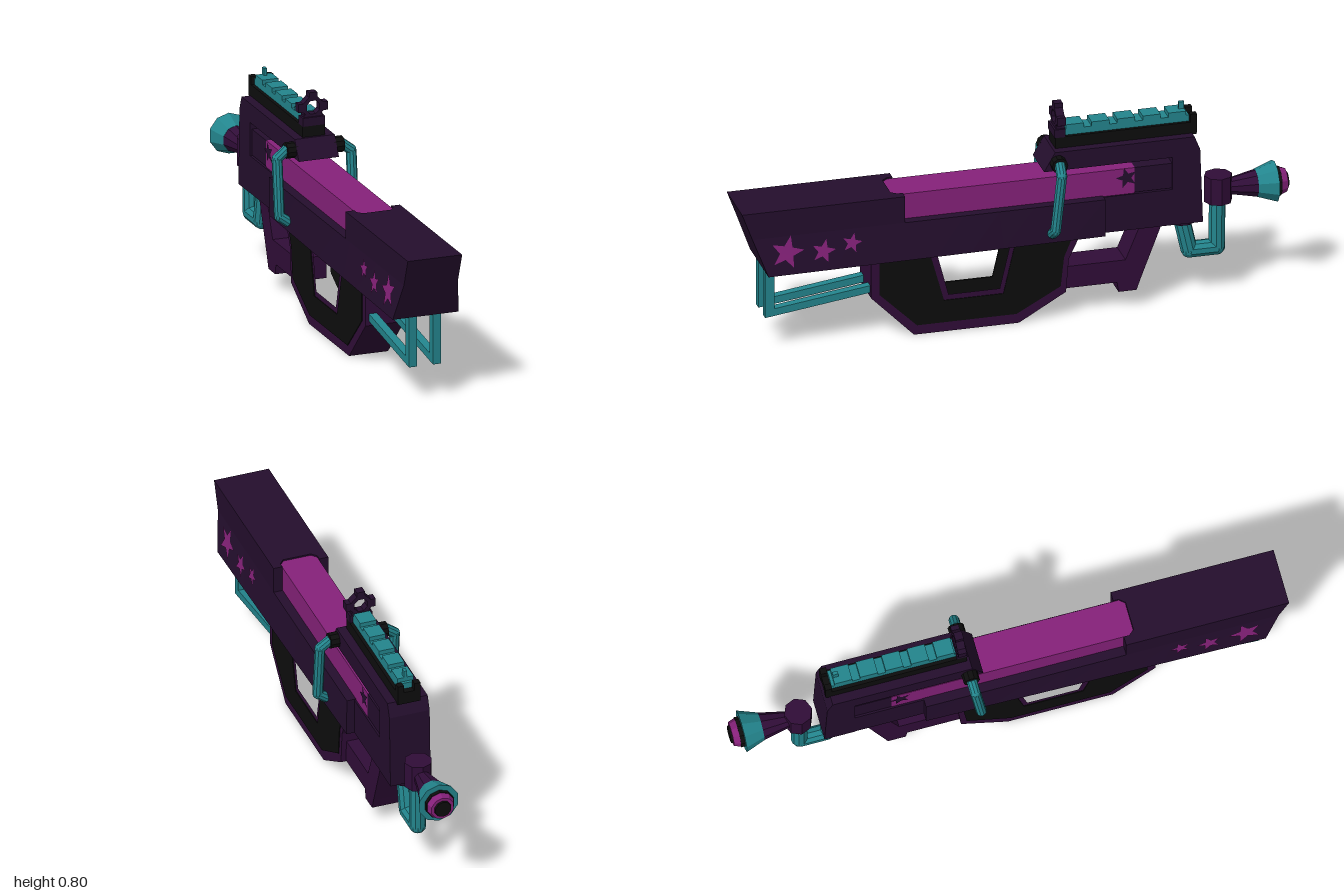
import * as THREE from 'three';

const paint = (name, color, side = THREE.FrontSide) => {
  const m = new THREE.MeshStandardMaterial({ color, side, flatShading: true });
  m.name = name;
  return m;
};

export function createModel() {
  const group = new THREE.Group();
  const body = paint('dark purple', 0x240e2d, THREE.DoubleSide);
  const frame = paint('plum', 0x300d38);
  const teal = paint('teal', 0x23858d);
  const pink = paint('magenta', 0x86217a, THREE.DoubleSide);
  const black = paint('black', 0x0d0d0d);

  const add = (name, geo, mat, x = 0, y = 0, z = 0) => {
    const m = new THREE.Mesh(geo, mat);
    m.name = name;
    m.position.set(x, y, z);
    group.add(m);
    return m;
  };
  const box = (name, mat, w, y0, y1, z0, z1, x = 0) =>
    add(name, new THREE.BoxGeometry(w, y1 - y0, z1 - z0), mat, x, (y0 + y1) / 2, (z0 + z1) / 2);
  const outline = (pts) => new THREE.Shape(pts.map(([a, b]) => new THREE.Vector2(a, b)));
  // Extrudes a [z, y] profile across x
  const profile = (name, mat, pts, width, x = 0, hole = null) => {
    const s = outline(pts);
    if (hole) s.holes.push(outline(hole));
    const g = new THREE.ExtrudeGeometry(s, { depth: width, bevelEnabled: false });
    g.translate(0, 0, -width / 2).rotateY(-Math.PI / 2);
    return add(name, g, mat, x);
  };
  // Straight round sections with ball joints at the bends
  const pipe = (name, mat, pts, r) => {
    const v = pts.map((p) => new THREE.Vector3(...p));
    for (let i = 0; i < v.length - 1; i++) {
      const d = v[i + 1].clone().sub(v[i]);
      const c = v[i].clone().add(v[i + 1]).multiplyScalar(0.5);
      const m = add(name, new THREE.CylinderGeometry(r, r, d.length(), 10), mat, c.x, c.y, c.z);
      m.quaternion.setFromUnitVectors(new THREE.Vector3(0, 1, 0), d.normalize());
      if (i > 0) add(name + 'Bend', new THREE.SphereGeometry(r, 10, 8), mat, v[i].x, v[i].y, v[i].z);
    }
  };

  // Lower body: flared flanks, wider at the front, raked front face
  const flank = (y, z) => {
    const low = 0.103 + (0.02 * (z + 0.32)) / 1.23;
    return 0.102 + ((low - 0.102) * (0.45 - y)) / 0.14;
  };
  const lower = new THREE.BoxGeometry(2, 0.14, 1, 1, 1, 10);
  const lp = lower.attributes.position;
  for (let i = 0; i < lp.count; i++) {
    const y = lp.getY(i) + 0.38;
    const front = 0.91 + ((y - 0.31) * 0.09) / 0.24;
    const z = -0.315 + (lp.getZ(i) + 0.5) * (front + 0.315);
    lp.setXYZ(i, lp.getX(i) * flank(y, z), y, z);
  }
  add('lowerBody', lower, body);

  // Upper front block with a notch that receives the magazine
  const plan = outline([[-0.102, 1], [-0.102, 0.41], [-0.069, 0.41], [-0.069, 0.43], [-0.052, 0.45],
    [0.052, 0.45], [0.069, 0.43], [0.069, 0.41], [0.102, 0.41], [0.102, 1]]);
  const upper = new THREE.ExtrudeGeometry(plan, { depth: 0.1, bevelEnabled: false });
  upper.rotateX(Math.PI / 2).translate(0, 0.55, 0);
  const up = upper.attributes.position;
  for (let i = 0; i < up.count; i++) {
    if (up.getY(i) < 0.5 && up.getZ(i) > 0.9) up.setZ(i, 0.9625);
  }
  add('frontBlock', upper, body);

  // Magazine with chamfered front end, and its dark tail
  const magPlan = outline([[-0.068, -0.43], [0.068, -0.43], [0.068, 0.43], [0.051, 0.449], [-0.051, 0.449], [-0.068, 0.43]]);
  const mag = new THREE.ExtrudeGeometry(magPlan, { depth: 0.1, bevelEnabled: false });
  mag.rotateX(Math.PI / 2).translate(0, 0.545, 0);
  add('magazine', mag, pink);
  box('magazineTail', body, 0.136, 0.45, 0.545, -0.57, -0.43);

  // Rear block, top housing and rear underbody
  profile('housing', body, [[-0.1, 0.57], [-0.14, 0.64], [-0.645, 0.64], [-0.665, 0.59], [-0.675, 0.31],
    [-0.565, 0.31], [-0.565, 0.57]], 0.15);
  box('rearBody', body, 0.148, 0.31, 0.447, -0.57, -0.31);

  // Star decals
  const star = (r) => outline(Array.from({ length: 10 }, (_, i) => {
    const a = Math.PI / 2 + 0.25 + (i * Math.PI) / 5;
    const k = i % 2 ? r * 0.42 : r;
    return [Math.cos(a) * k, Math.sin(a) * k];
  }));
  for (const s of [-1, 1]) {
    for (const [z, y, r] of [[0.84, 0.392, 0.062], [0.708, 0.382, 0.045], [0.604, 0.4, 0.037]]) {
      const g = new THREE.ShapeGeometry(star(r));
      const p = g.attributes.position;
      for (let i = 0; i < p.count; i++) {
        const sz = z + p.getX(i), sy = y + p.getY(i);
        p.setXYZ(i, s * (flank(sy, sz) + 0.003), sy, sz);
      }
      g.computeVertexNormals();
      add('flankStar', g, pink);
    }
    const tip = new THREE.ShapeGeometry(star(0.04)).rotateY((s * Math.PI) / 2);
    add('magazineStar', tip, body, s * 0.071, 0.51, -0.4);
  }

  // Front grip frame with opening, and black inlays
  profile('gripFrame', frame, [[0.525, 0.32], [0.525, 0.16], [0.37, 0.002], [-0.01, 0.002], [-0.18, 0.1],
    [-0.19, 0.225], [-0.235, 0.32]], 0.146, 0,
  [[0.29, 0.315], [0.245, 0.142], [0.06, 0.142], [0.02, 0.315]]);
  for (const s of [-1, 1]) {
    profile('gripInlay', black, [[0.495, 0.315], [0.495, 0.17], [0.36, 0.038], [0, 0.038], [-0.16, 0.125],
      [-0.172, 0.235], [-0.205, 0.315], [0.003, 0.315], [0.047, 0.122], [0.262, 0.122], [0.315, 0.315]],
    0.008, s * 0.072);
  }
  profile('trigger', black, [[-0.18, 0.32], [-0.18, 0.23], [-0.21, 0.235], [-0.24, 0.32]], 0.05);

  // Rear grip: lower bar, slanted arm and foot
  profile('rearGrip', frame, [[-0.17, 0.188], [-0.17, 0.105], [-0.37, 0.105], [-0.375, 0.068], [-0.44, 0.068],
    [-0.455, 0.11], [-0.535, 0.32], [-0.455, 0.32], [-0.4, 0.188]], 0.11);

  for (const s of [-1, 1]) {
    // Front under-bars
    profile('underBar', teal, [[0.905, 0.32], [0.905, 0.125], [0.515, 0.178], [0.515, 0.205], [0.872, 0.157],
      [0.872, 0.32]], 0.03, s * 0.045);
    // Side handles on black stubs
    const stub = add('handleStub', new THREE.CylinderGeometry(0.029, 0.029, 0.04, 10), black, s * 0.087, 0.6, -0.15);
    stub.rotation.z = Math.PI / 2;
    pipe('sideHandle', teal, [[s * 0.1, 0.605, -0.15], [s * 0.139, 0.575, -0.147], [s * 0.139, 0.37, -0.125],
      [s * 0.105, 0.345, -0.122]], 0.019);
    // Rear sight ears
    box('rearSightEar', black, 0.022, 0.64, 0.712, -0.662, -0.638, s * 0.031);
  }

  // Top rail
  box('railBase', black, 0.084, 0.635, 0.682, -0.66, -0.15);
  box('rail', teal, 0.06, 0.68, 0.705, -0.637, -0.185);
  for (let i = 0; i < 5; i++) {
    const z = -0.192 - i * 0.0925;
    box('railTooth', teal, 0.06, 0.703, 0.721, z - 0.064, z);
  }
  box('rearSightPost', teal, 0.012, 0.7, 0.747, -0.626, -0.606);

  // Front sight: block, octagonal ring and three tabs
  box('frontSightBase', body, 0.084, 0.68, 0.711, -0.187, -0.147);
  const octagon = (r) => Array.from({ length: 8 }, (_, i) => {
    const a = ((i + 0.5) * Math.PI) / 4;
    return [Math.cos(a) * r, Math.sin(a) * r];
  });
  const ring = outline(octagon(0.041));
  ring.holes.push(outline(octagon(0.026)));
  add('frontSightRing', new THREE.ExtrudeGeometry(ring, { depth: 0.03, bevelEnabled: false }), body, 0, 0.745, -0.184);
  box('frontSightTab', body, 0.03, 0.778, 0.8, -0.184, -0.154);
  box('frontSightFoot', body, 0.07, 0.708, 0.72, -0.184, -0.154);
  for (const s of [-1, 1]) box('frontSightTab', body, 0.02, 0.73, 0.761, -0.184, -0.154, s * 0.045);

  // Rear U-pipe, collar and vertical elbow
  add('pipeCollar', new THREE.CylinderGeometry(0.05, 0.05, 0.06, 10), body, 0, 0.32, -0.617);
  pipe('rearPipe', teal, [[0, 0.3, -0.617], [0, 0.175, -0.645], [0, 0.175, -0.745], [0, 0.36, -0.747]], 0.03);
  add('elbow', new THREE.CylinderGeometry(0.05, 0.05, 0.1, 8), frame, 0, 0.4, -0.75);

  // Nozzle: stacked rings along -z
  const cone = (name, mat, z0, z1, r0, r1) => {
    const m = add(name, new THREE.CylinderGeometry(r1, r0, z0 - z1, 10), mat, 0, 0.4, (z0 + z1) / 2);
    m.rotation.x = -Math.PI / 2;
  };
  cone('nozzleNeck', frame, -0.77, -0.888, 0.025, 0.05);
  cone('nozzleFlare', teal, -0.885, -0.955, 0.05, 0.075);
  cone('nozzleBand', black, -0.95, -0.97, 0.054, 0.054);
  cone('nozzleRing', pink, -0.968, -0.993, 0.052, 0.043);
  cone('nozzleCap', black, -0.99, -1, 0.033, 0.03);

  return group;
}
